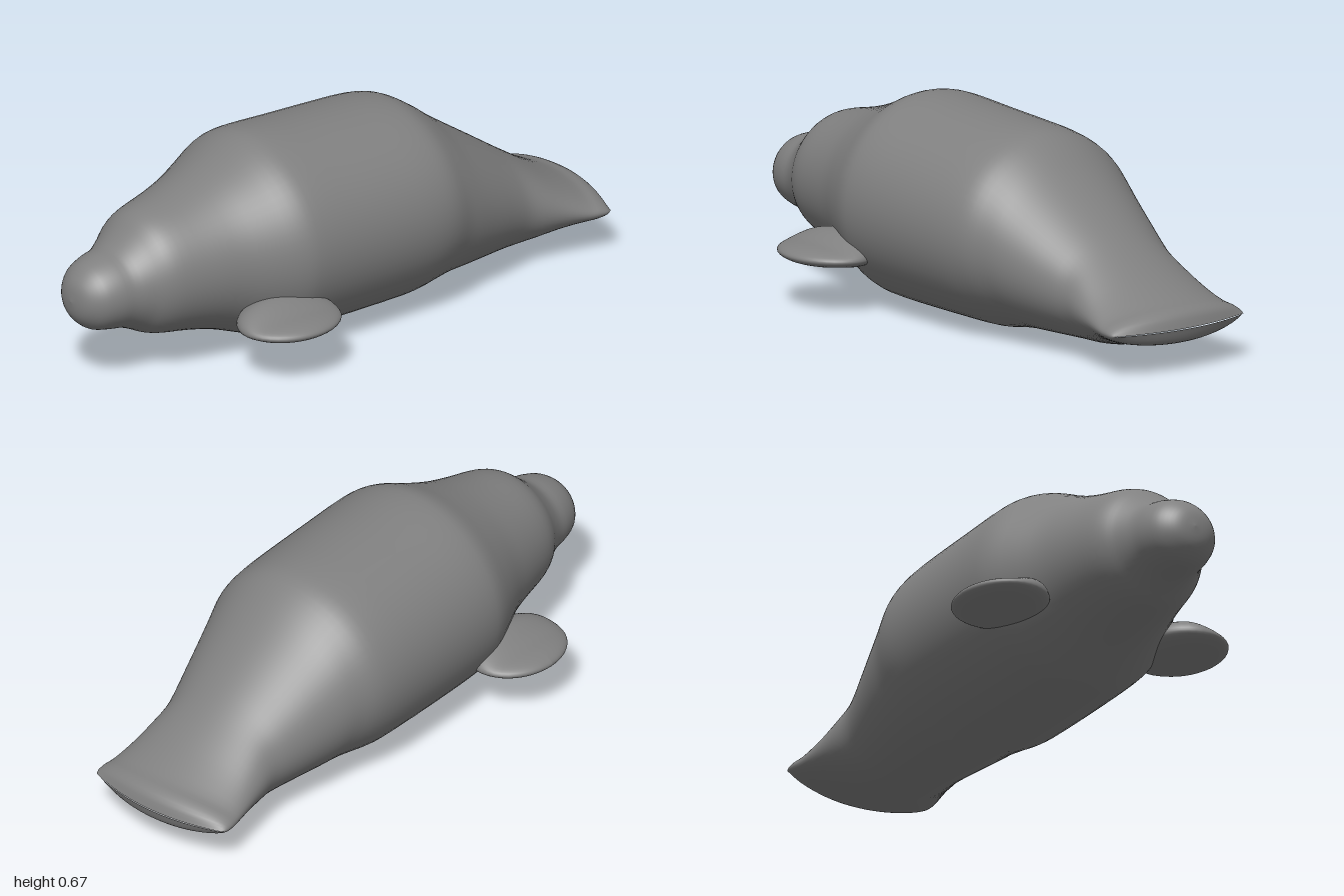
import * as THREE from 'three';

// Body cross-sections: z, half width, bottom, top
const SECTIONS = [
  [1.0, 0, 0.295, 0.295], [0.993, 0.045, 0.25, 0.34], [0.975, 0.08, 0.218, 0.372],
  [0.94, 0.112, 0.19, 0.403], [0.89, 0.13, 0.178, 0.422], [0.84, 0.14, 0.17, 0.435],
  [0.79, 0.162, 0.15, 0.475], [0.75, 0.187, 0.13, 0.51], [0.7, 0.208, 0.116, 0.532],
  [0.6, 0.234, 0.1, 0.555], [0.5, 0.264, 0.075, 0.585], [0.4, 0.31, 0.038, 0.625],
  [0.32, 0.344, 0.01, 0.662], [0.25, 0.355, 0.003, 0.671], [0.1, 0.358, 0.001, 0.663],
  [-0.08, 0.358, 0.001, 0.654], [-0.2, 0.354, 0.003, 0.647], [-0.28, 0.342, 0.016, 0.632],
  [-0.35, 0.318, 0.024, 0.59], [-0.42, 0.298, 0.027, 0.535], [-0.52, 0.268, 0.031, 0.465],
  [-0.6, 0.244, 0.034, 0.41], [-0.66, 0.232, 0.036, 0.368], [-0.73, 0.237, 0.046, 0.32],
  [-0.82, 0.246, 0.066, 0.262], [-0.91, 0.257, 0.083, 0.215], [-0.955, 0.263, 0.09, 0.203],
  [-0.985, 0.263, 0.106, 0.183], [-1.0, 0.255, 0.143, 0.146],
];

// Smooth loft through the elliptical sections, from snout to tail edge
function bodyGeometry() {
  const profile = new THREE.CatmullRomCurve3(SECTIONS.map(([, w, b, t]) => new THREE.Vector3(w, b, t)), false, 'catmullrom');
  const spine = new THREE.CatmullRomCurve3(SECTIONS.map(([z]) => new THREE.Vector3(0, 0, z)), false, 'catmullrom');
  const rings = (SECTIONS.length - 1) * 3, sides = 64;
  const positions = [], indices = [];
  for (let i = 0; i <= rings; i++) {
    const p = profile.getPoint(i / rings), z = spine.getPoint(i / rings).z;
    // The rear edge of the tail bows outward in the middle
    const bow = 0.05 * THREE.MathUtils.smoothstep(-z, 0.65, 1);
    for (let j = 0; j < sides; j++) {
      const a = (j / sides) * Math.PI * 2;
      const x = p.x * Math.cos(a);
      positions.push(x, (p.y + p.z) / 2 + ((p.z - p.y) / 2) * Math.sin(a), z + bow * (x / 0.26) ** 2);
      if (i < rings) {
        const k = (j + 1) % sides, r = i * sides, n = r + sides;
        indices.push(r + j, n + j, r + k, r + k, n + j, n + k);
      }
    }
  }
  const geometry = new THREE.BufferGeometry();
  geometry.setAttribute('position', new THREE.Float32BufferAttribute(positions, 3));
  geometry.setIndex(indices);
  geometry.computeVertexNormals();
  return geometry;
}

// Flat oval paddle that thickens upward where it joins the body
function flipperGeometry(side) {
  const geometry = new THREE.SphereGeometry(1, 40, 28);
  geometry.scale(0.145, 0.036, 0.176);
  const pos = geometry.attributes.position;
  for (let i = 0; i < pos.count; i++) {
    const root = 1 - THREE.MathUtils.smoothstep(pos.getX(i) * side, -0.06, 0.06);
    const y = pos.getY(i);
    pos.setY(i, y * (1 + root * (y > 0 ? 1.0 : 0.3)));
  }
  geometry.computeVertexNormals();
  return geometry;
}

export function createModel() {
  const model = new THREE.Group();
  model.name = 'seaAnimal';
  const skin = new THREE.MeshStandardMaterial({ color: 0x808080 });
  skin.name = 'grey skin';

  const body = new THREE.Mesh(bodyGeometry(), skin);
  body.name = 'body';
  model.add(body);

  for (const side of [1, -1]) {
    const flipper = new THREE.Mesh(flipperGeometry(side), skin);
    flipper.name = side > 0 ? 'leftFlipper' : 'rightFlipper';
    flipper.position.set(side * 0.334, 0.181, 0.393);
    model.add(flipper);
  }
  return model;
}
